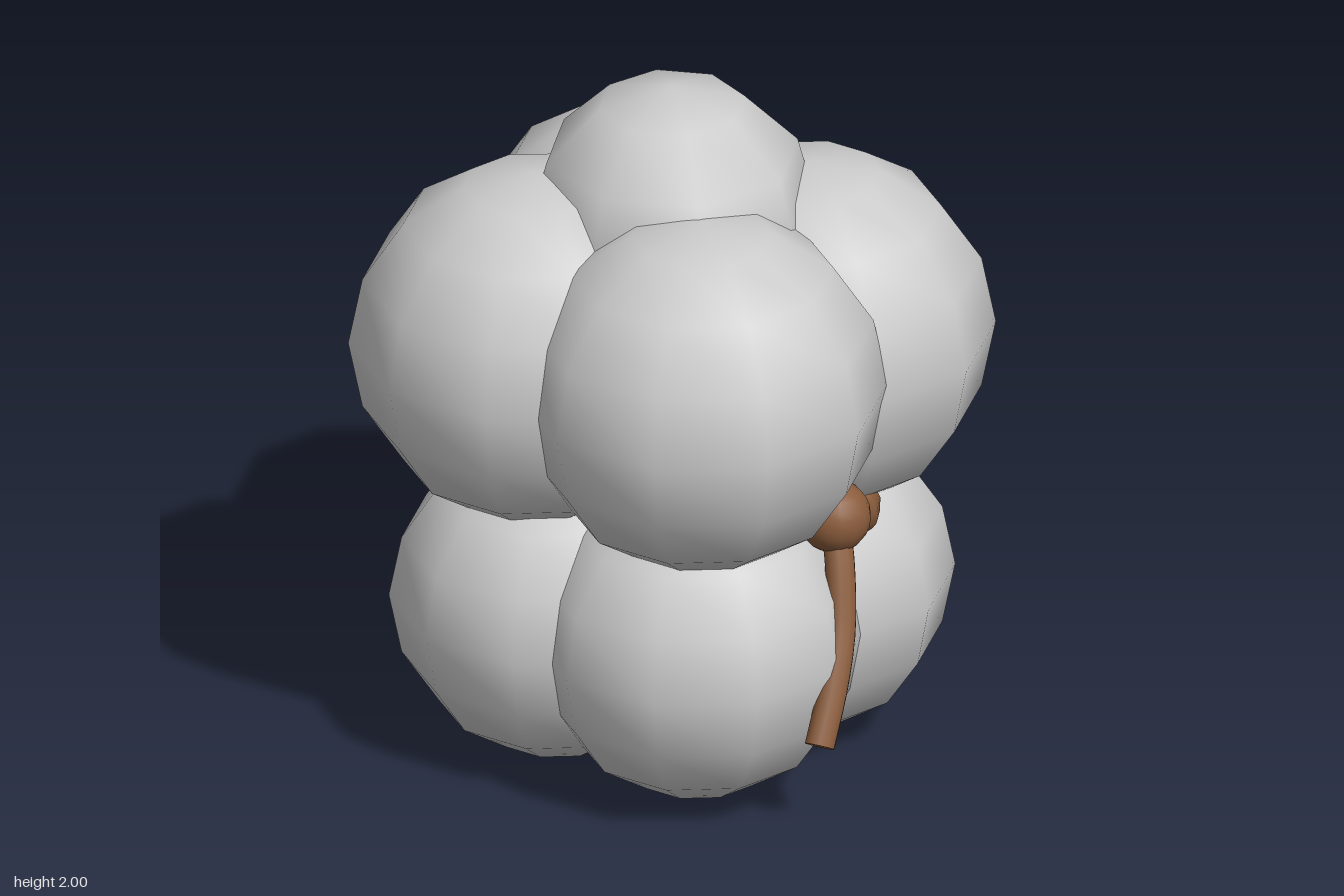
import * as THREE from 'three';

export function createModel() {
  const model = new THREE.Group();
  model.name = 'balloonCluster';
  const grey = new THREE.MeshStandardMaterial({ color: 0xcccccc });
  const brown = new THREE.MeshStandardMaterial({ color: 0x8a5c3c });

  function add(name, geometry, material, x = 0, y = 0, z = 0) {
    const mesh = new THREE.Mesh(geometry, material);
    mesh.name = name;
    mesh.position.set(x, y, z);
    model.add(mesh);
    return mesh;
  }

  // Four large balloons above four smaller ones; the rear upper pair sits lower
  const upper = new THREE.SphereGeometry(0.515, 10, 8);
  const lower = new THREE.SphereGeometry(0.465, 10, 8);
  for (const sx of [-1, 1]) {
    for (const sz of [-1, 1]) {
      const place = (sz > 0 ? 'Front' : 'Back') + (sx > 0 ? 'Left' : 'Right');
      add('upperBalloon' + place, upper, grey, sx * 0.275, sz > 0 ? 1.255 : 1.21, sz * 0.275);
      add('lowerBalloon' + place, lower, grey, sx * 0.23, 0.465, sz * 0.23);
    }
  }

  // Single balloon on top
  add('topBalloon', new THREE.SphereGeometry(0.41, 8, 6), grey, 0, 1.59, 0);

  // Knot on the left side, with a smaller loop behind it
  add('knot', new THREE.SphereGeometry(0.103, 16, 12), brown, 0.565, 0.842, 0.05);
  const loop = add('knotLoop', new THREE.SphereGeometry(0.09, 8, 6), brown, 0.53, 0.795, -0.11);
  loop.scale.set(0.8, 1.05, 0.85);
  loop.rotation.x = 0.3;

  function strand(name, points, radius) {
    const path = new THREE.CatmullRomCurve3(points.map((p) => new THREE.Vector3(...p)));
    add(name, new THREE.TubeGeometry(path, 12, radius, 10), brown);
    // Flat caps close both ends
    for (const t of [0, 1]) {
      const cap = add(name + 'Cap', new THREE.CircleGeometry(radius, 10), brown);
      const end = path.getPointAt(t);
      cap.position.copy(end);
      cap.lookAt(end.clone().addScaledVector(path.getTangentAt(t), t ? 1 : -1));
    }
  }

  // Hanging cord and the short strand under the knot
  strand('hangingCord', [
    [0.57, 0.82, 0.05], [0.61, 0.72, 0.09], [0.655, 0.56, 0.155],
    [0.68, 0.43, 0.23], [0.695, 0.28, 0.325],
  ], 0.043);
  strand('shortStrand', [[0.56, 0.81, 0.01], [0.55, 0.75, -0.03], [0.53, 0.71, -0.06]], 0.036);

  // Stub of cord emerging on the opposite side
  const stub = add('cordStub', new THREE.CylinderGeometry(0.08, 0.06, 0.2, 8), brown, -0.51, 0.81, 0.02);
  stub.rotation.z = Math.PI / 2 + 0.1;

  return model;
}
